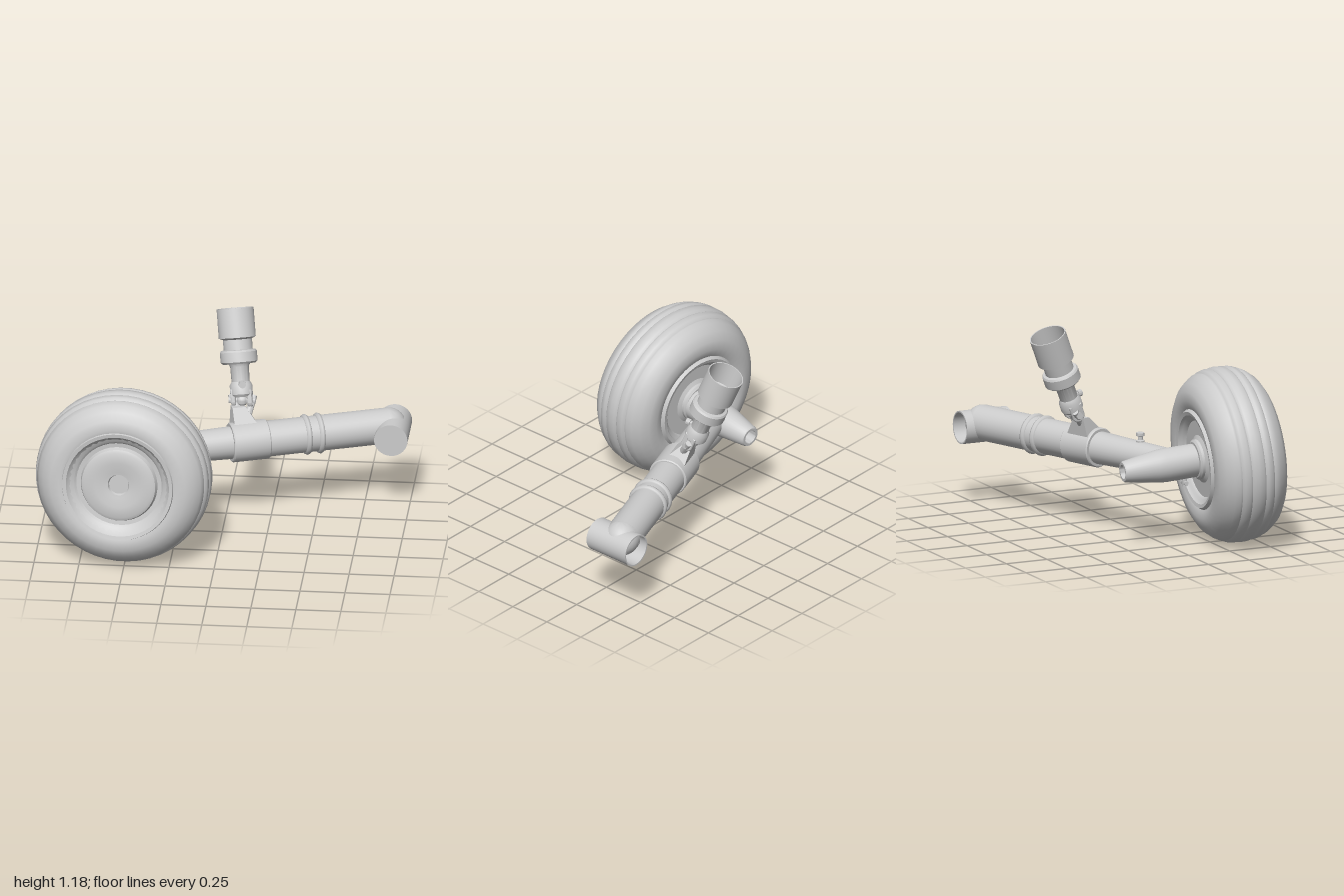
import * as THREE from 'three';
import { toCreasedNormals } from 'three/addons/utils/BufferGeometryUtils.js';

const V = (x, y, z) => new THREE.Vector3(x, y, z);
const UP = V(0, 1, 0);
const grey = new THREE.MeshStandardMaterial({ color: 0xcccccc, side: THREE.DoubleSide });

function add(parent, name, geometry, crease = 0.6) {
  const mesh = new THREE.Mesh(toCreasedNormals(geometry, crease), grey);
  mesh.name = name;
  parent.add(mesh);
  return mesh;
}

// Surface of revolution: profile of [radius, distance along axis]
function turned(parent, name, profile, origin, dir, segments = 32, crease) {
  const pts = profile.map(([r, a]) => new THREE.Vector2(r, a));
  const mesh = add(parent, name, new THREE.LatheGeometry(pts, segments), crease);
  mesh.position.copy(origin);
  mesh.quaternion.setFromUnitVectors(UP, dir.clone().normalize());
  return mesh;
}

// Capped round bar between two points
function bar(parent, name, a, b, r0, r1 = r0, segments = 28) {
  const d = b.clone().sub(a), len = d.length();
  return turned(parent, name, [[0, 0], [r0, 0], [r1, len], [0, len]], a, d, segments);
}

function createWheel() {
  const g = new THREE.Group();
  g.name = 'wheel';
  g.position.set(-0.512, 0.495, 0.36);
  g.quaternion.setFromUnitVectors(UP, V(-0.09, 0.08, 1).normalize());
  const o = V(0, 0, 0);
  // Ribbed tyre: half the section, mirrored
  const half = [[0.25, 0.17], [0.285, 0.195], [0.33, 0.208], [0.38, 0.2], [0.425, 0.172], [0.455, 0.135],
    [0.47, 0.108], [0.467, 0.095], [0.481, 0.082], [0.487, 0.055], [0.479, 0.04], [0.489, 0.028]];
  const tyre = [...half.map(([r, a]) => [r, -a]), [0.492, 0], ...half.slice().reverse()];
  turned(g, 'tyre', tyre, o, UP, 48, 0.9);
  // Outer rim with stepped rings and central recess
  turned(g, 'outerRim', [[0.318, 0.19], [0.31, 0.214], [0.29, 0.21], [0.275, 0.188], [0.25, 0.168], [0.24, 0.158],
    [0.216, 0.155], [0.207, 0.178], [0.19, 0.186], [0.13, 0.188], [0.075, 0.178], [0.06, 0.176], [0.055, 0.162],
    [0, 0.162]], o, UP, 40);
  // Inner rim dish and lip
  turned(g, 'innerRim', [[0, -0.168], [0.215, -0.168], [0.225, -0.182], [0.238, -0.188], [0.25, -0.205],
    [0.27, -0.21], [0.285, -0.19]], o, UP, 40);
  turned(g, 'hubFlange', [[0, -0.205], [0.1, -0.205], [0.112, -0.195], [0.112, -0.18], [0.14, -0.165]], o, UP);
  return g;
}

function createAxle() {
  const g = new THREE.Group();
  g.name = 'axle';
  const start = V(-0.485, 0.475, 0.17), dir = V(0.09, -0.08, -1);
  // Stub axle tapering to an open nose
  turned(g, 'stubAxle', [[0.093, 0], [0.094, 0.19], [0.09, 0.24], [0.06, 0.425], [0.054, 0.433], [0.04, 0.433],
    [0.037, 0.34], [0, 0.34]], start, dir);
  // Lug under the axle
  bar(g, 'axleLug', V(-0.478, 0.41, 0.1), V(-0.478, 0.333, 0.105), 0.017, 0.015, 12);
  bar(g, 'axleLugPin', V(-0.505, 0.352, 0.104), V(-0.451, 0.352, 0.104), 0.012, 0.012, 12);
  return g;
}

function createBeam() {
  const g = new THREE.Group();
  g.name = 'beam';
  const at = x => V(x, 0.472, -0.157 - 0.364 * x);
  const dir = V(1, 0, -0.364);
  bar(g, 'innerTube', at(-0.47), at(0.06), 0.078, 0.092);
  bar(g, 'outerTube', at(0.2), at(0.88), 0.1);
  // Rounded end running into the cross tube
  const end = add(g, 'tubeEnd', new THREE.SphereGeometry(0.1, 28, 18));
  end.position.copy(at(0.88));
  // Clamp sleeve
  turned(g, 'sleeve', [[0.085, 0], [0.106, 0], [0.111, 0.006], [0.111, 0.204], [0.106, 0.21], [0.09, 0.21]],
    at(0.03), dir);
  // Raised bands
  for (const x of [0.435, 0.505]) {
    turned(g, 'band', [[0.098, -0.016], [0.108, -0.013], [0.114, 0], [0.108, 0.013], [0.098, 0.016]],
      at(x), dir, 32, 1);
  }
  // Cross tube: closed at the front, hollow at the rear
  turned(g, 'crossTube', [[0, 0.27], [0.08, 0.27], [0.085, 0], [0.093, 0], [0.093, 0.285], [0, 0.285]],
    V(0.907, 0.45, -0.607), V(0, 0, 1));
  // Filler nipple on the inner tube
  turned(g, 'nipple', [[0.024, 0], [0.024, 0.022], [0.014, 0.026], [0.014, 0.044], [0.023, 0.048], [0.023, 0.066],
    [0.012, 0.07], [0, 0.07]], V(-0.255, 0.54, -0.06), V(0, 1, 0), 16);
  return g;
}

function createStrut() {
  const g = new THREE.Group();
  g.name = 'strut';
  const foot = V(0.088, 0.628, -0.287), d = V(-0.11, 0.92, -0.37).normalize();
  const along = t => foot.clone().addScaledVector(d, t);

  // Cylinder with hollow cup, neck, collar and rod
  turned(g, 'strutCylinder', [[0, 0.11], [0.05, 0.11], [0.052, 0.235], [0.062, 0.25], [0.092, 0.25], [0.103, 0.26],
    [0.103, 0.315], [0.096, 0.325], [0.081, 0.328], [0.081, 0.385], [0.103, 0.395], [0.103, 0.557], [0.097, 0.557],
    [0.094, 0.42], [0.07, 0.41], [0.045, 0.435], [0, 0.44]], V(0, 0, 0), d, 36).position.copy(foot);
  // Rod head and fork cheeks
  turned(g, 'rodHead', [[0, 0.065], [0.05, 0.065], [0.063, 0.08], [0.063, 0.13], [0.052, 0.15], [0, 0.15]],
    foot, d, 24);
  bar(g, 'rodPin', along(0.155), along(0.155).add(V(0.015, 0.01, 0.075)), 0.013, 0.013, 12);
  bar(g, 'rodPinHead', along(0.155).add(V(0.012, 0.008, 0.06)), along(0.155).add(V(0.018, 0.012, 0.084)),
    0.02, 0.02, 12);

  // Cheeks: rounded plates hanging from the rod head
  const plate = (w, h, depth) => {
    const s = new THREE.Shape();
    s.moveTo(-w, h);
    s.lineTo(-w, 0);
    s.absarc(0, 0, w, Math.PI, Math.PI * 2, false);
    s.lineTo(w, h);
    s.closePath();
    const geo = new THREE.ExtrudeGeometry(s, { depth, bevelEnabled: true, bevelSize: 0.004, bevelThickness: 0.004,
      bevelSegments: 1, curveSegments: 12 });
    return geo.translate(0, 0, -depth / 2).rotateY(Math.PI / 2);
  };
  const joint = along(0.045);
  for (const side of [-1, 1]) {
    const cheek = add(g, 'forkCheek', plate(0.034, 0.06, 0.018));
    cheek.position.copy(joint).add(V(side * 0.046, 0, 0));
    cheek.quaternion.setFromUnitVectors(UP, d);
    // Lower yoke arms, set across the fork
    bar(g, 'yokeArm', V(0.095 + side * 0.025, 0.61, -0.265), joint.clone().add(V(side * 0.064, 0.022, -0.025)),
      0.022, 0.018, 12);
  }
  bar(g, 'crossPin', joint.clone().add(V(-0.075, 0, 0)), joint.clone().add(V(0.075, 0, 0)), 0.018, 0.018, 14);
  const knuckle = add(g, 'knuckle', new THREE.SphereGeometry(0.032, 16, 12));
  knuckle.position.copy(joint);

  // Tapered bracket rising from the sleeve
  const bracket = new THREE.BoxGeometry(1, 1, 1);
  const p = bracket.attributes.position;
  for (let i = 0; i < p.count; i++) {
    const top = p.getY(i) > 0;
    p.setXYZ(i, p.getX(i) * (top ? 0.075 : 0.16) + (top ? -0.015 : 0.015), top ? 0.115 : 0,
      p.getZ(i) * (top ? 0.045 : 0.15) + (top ? -0.085 : -0.01));
  }
  const mount = add(g, 'mountBracket', bracket, 0.3);
  mount.position.set(0.107, 0.535, -0.195);
  mount.rotation.y = 0.349;
  return g;
}

export function createModel() {
  const model = new THREE.Group();
  model.name = 'landingGear';
  model.add(createWheel(), createAxle(), createBeam(), createStrut());
  return model;
}
